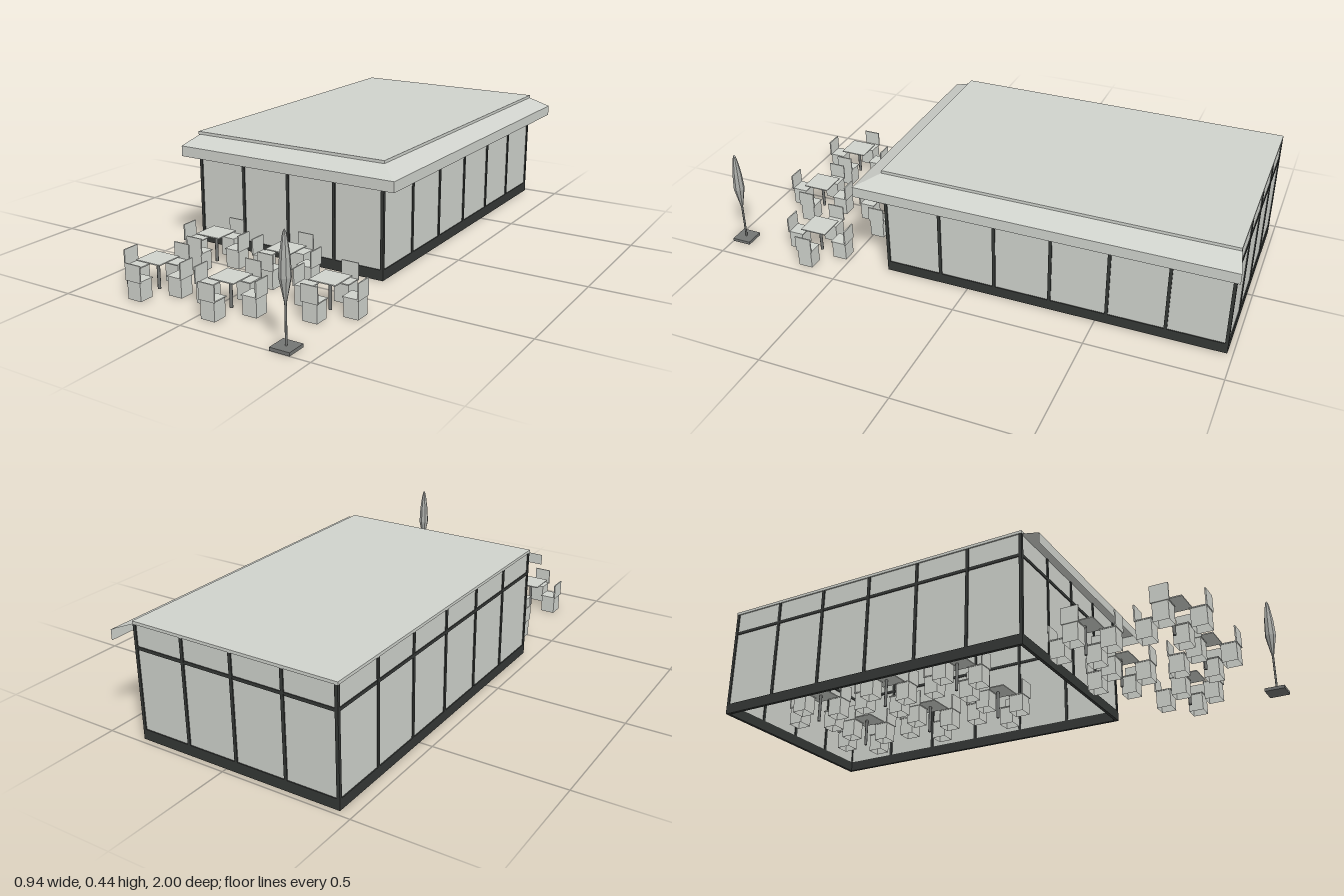
import * as THREE from 'three';

const mat = (name, color, extra = {}) => {
  const m = new THREE.MeshStandardMaterial({ color, ...extra });
  m.name = name;
  return m;
};

export function createModel() {
  const light = mat('lightGrey', 0xd0d3cd, { side: THREE.DoubleSide });
  const dark = mat('frameDark', 0x353836);
  const metal = mat('metalGrey', 0x747674);
  const canvas = mat('canvasGrey', 0xaeb0ac, { flatShading: true });

  const model = new THREE.Group();
  model.name = 'pavilionCafe';

  const group = (name, parent) => {
    const g = new THREE.Group();
    g.name = name;
    parent.add(g);
    return g;
  };
  const add = (name, parent, geo, material, x = 0, y = 0, z = 0) => {
    const m = new THREE.Mesh(geo, material);
    m.name = name;
    m.position.set(x, y, z);
    parent.add(m);
    return m;
  };
  const box = (name, parent, material, w, h, d, x, y, z) =>
    add(name, parent, new THREE.BoxGeometry(w, h, d), material, x, y, z);

  // Building extents
  const X0 = -0.45, X1 = 0.364, Z0 = -0.98, Z1 = 0.333, TOP = 0.432;
  const T = 0.012, BASE = 0.04;
  const cx = (X0 + X1) / 2, cz = (Z0 + Z1) / 2;

  // One glazed wall along local x, outer face at local z = 0 looking towards +z
  function wall(name, length, bays, x, z, turn) {
    const g = group(name, model);
    g.position.set(x, 0, z);
    g.rotation.y = turn;
    box('glass', g, light, length - T, TOP - BASE, 0.004, 0, (TOP + BASE) / 2, -0.006);
    box('basePlinth', g, dark, length, BASE, T, 0, BASE / 2, -T / 2);
    box('transom', g, dark, length - T, T, T * 0.9, 0, 0.347, -T / 2);
    for (let i = 0; i <= bays; i++) {
      const px = -length / 2 + T / 2 + (i / bays) * (length - T);
      box('post', g, dark, T, TOP - BASE, T, px, (TOP + BASE) / 2, -T / 2);
    }
  }
  wall('frontWall', X1 - X0, 4, cx, Z1, 0);
  wall('backWall', X1 - X0, 4, cx, Z0, Math.PI);
  wall('leftWall', Z1 - Z0, 6, X1, cz, Math.PI / 2);
  wall('rightWall', Z1 - Z0, 6, X0, cz, -Math.PI / 2);

  // Flat roof slab
  box('roofSlab', model, light, X1 - X0 + 0.003, 0.011, Z1 - Z0, cx, TOP + 0.0055, cz);

  // Open sheet awning round two sides: three stations, each inner edge, eave, fascia foot
  const stations = [
    [[-0.445, Z1], [-0.47, 0.412]],
    [[X1, Z1], [0.448, 0.412]],
    [[X1, Z0], [0.448, -1.0]],
  ];
  const pos = [];
  for (let i = 0; i < 2; i++) {
    const rows = [stations[i], stations[i + 1]].map(([a, b]) => [
      [a[0], TOP, a[1]], [b[0], 0.4, b[1]], [b[0], 0.36, b[1]],
    ]);
    for (let k = 0; k < 2; k++) {
      const [a, b, c, d] = [rows[0][k], rows[0][k + 1], rows[1][k + 1], rows[1][k]];
      pos.push(...a, ...b, ...c, ...a, ...c, ...d);
    }
  }
  const awningGeo = new THREE.BufferGeometry();
  awningGeo.setAttribute('position', new THREE.Float32BufferAttribute(pos, 3));
  awningGeo.computeVertexNormals();
  add('awning', model, awningGeo, light);

  // Chair: hollow square base, seat plate and thin backrest on the outer side
  const chairBase = new THREE.CylinderGeometry(0.0285 * Math.SQRT2, 0.0285 * Math.SQRT2, 0.068, 4, 1, true)
    .rotateY(Math.PI / 4).toNonIndexed();
  chairBase.computeVertexNormals();
  const seat = new THREE.BoxGeometry(0.062, 0.004, 0.064);
  const back = new THREE.BoxGeometry(0.066, 0.062, 0.005);
  const tableTop = new THREE.BoxGeometry(0.105, 0.004, 0.105);
  const tableLeg = new THREE.CylinderGeometry(0.006, 0.006, 0.11, 8);

  function tableSet(name, x, z) {
    const g = group(name, model);
    g.position.set(x, 0, z);
    add('tableTop', g, tableTop, light, 0, 0.112, 0);
    add('tableLeg', g, tableLeg, metal, 0, 0.055, 0);
    for (let i = 0; i < 4; i++) {
      const c = group('chair', g);
      c.rotation.y = (i * Math.PI) / 2;
      add('chairBase', c, chairBase, light, 0, 0.034, 0.096);
      add('chairSeat', c, seat, light, 0, 0.07, 0.096);
      add('chairBack', c, back, light, 0, 0.099, 0.1255);
    }
  }
  // Terrace tables
  for (const x of [-0.263, 0.052]) for (const z of [0.48, 0.8]) tableSet('terraceTable', x, z);
  tableSet('terraceTable', 0.34, 0.64);
  // Indoor tables
  for (const x of [-0.212, 0.103]) for (const z of [-0.07, -0.39, -0.71]) tableSet('indoorTable', x, z);

  // Closed parasol
  const parasol = group('parasol', model);
  parasol.position.set(0.387, 0, 0.9625);
  box('parasolBase', parasol, metal, 0.075, 0.012, 0.075, 0, 0.006, 0);
  add('parasolPole', parasol, new THREE.CylinderGeometry(0.004, 0.004, 0.15, 8), metal, 0, 0.085, 0);
  const profile = [[0.004, 0.15], [0.021, 0.235], [0.0175, 0.3], [0.01, 0.355], [0.005, 0.378], [0, 0.386]];
  add('parasolCanopy', parasol,
    new THREE.LatheGeometry(profile.map(([r, y]) => new THREE.Vector2(r, y)), 8), canvas);

  return model;
}
